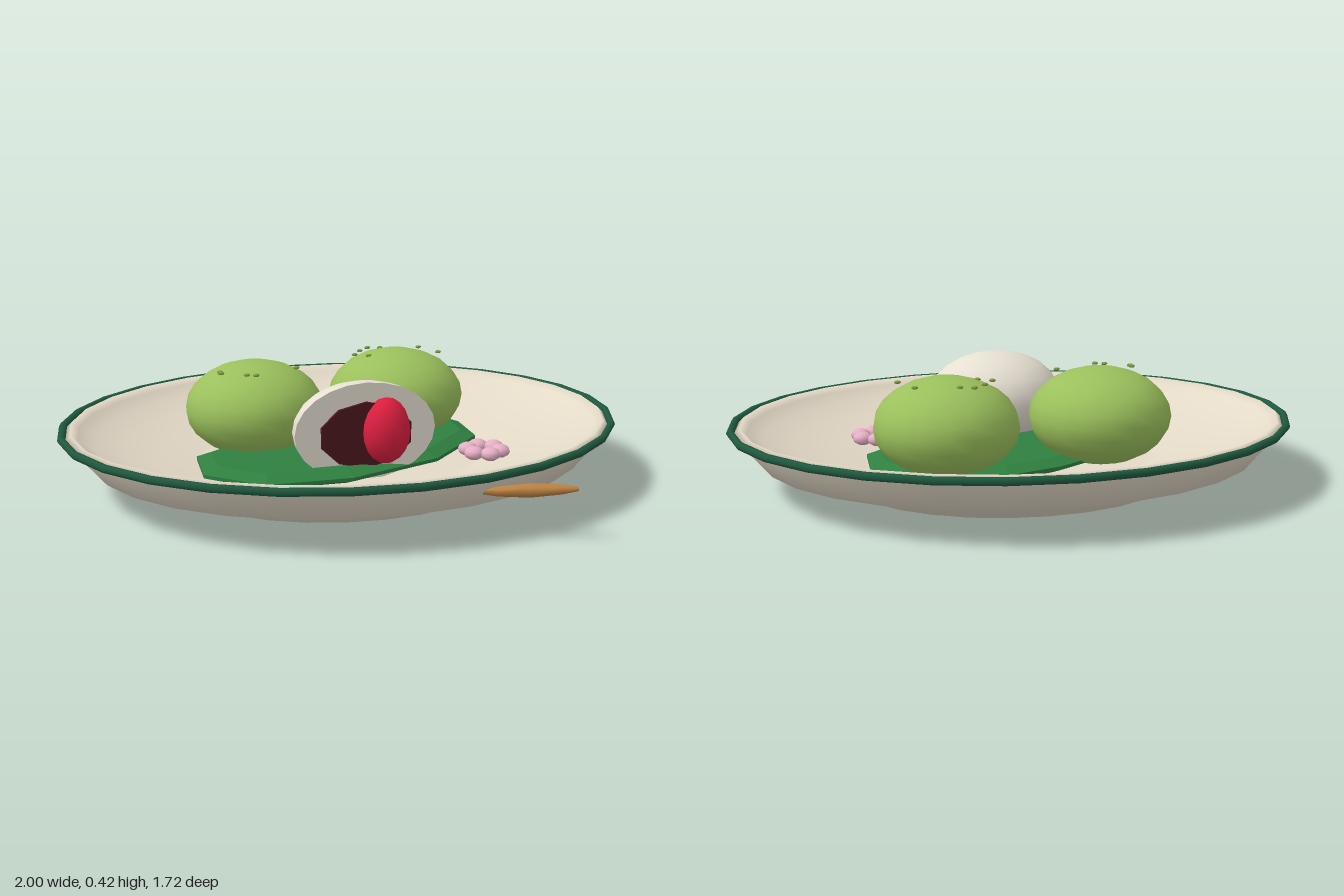
import * as THREE from 'three';

const mat = (name, color) => {
  const m = new THREE.MeshStandardMaterial({ color });
  m.name = name;
  return m;
};

export function createModel() {
  const M = {
    cream: mat('cream glaze', 0xe3d9c7),
    rim: mat('dark green rim', 0x1f5a3f),
    leaf: mat('leaf green', 0x2f8040),
    green: mat('green rice cake', 0x9bc05c),
    speck: mat('green speck', 0x7c9c40),
    white: mat('white rice cake', 0xe6dfd2),
    bean: mat('red bean paste', 0x4a171c),
    berry: mat('strawberry red', 0xdc1f3f),
    pink: mat('blossom pink', 0xe6b0c6),
    wood: mat('wood brown', 0xc08444),
  };
  const group = new THREE.Group();
  const add = (name, geo, material, x = 0, y = 0, z = 0, parent = group) => {
    const mesh = new THREE.Mesh(geo, material);
    mesh.name = name;
    mesh.position.set(x, y, z);
    parent.add(mesh);
    return mesh;
  };
  const ellipsoid = (rx, ry, rz, w = 18, h = 12, ...arc) =>
    new THREE.SphereGeometry(1, w, h, ...arc).scale(rx, ry, rz);
  const lathe = (pts, segments) =>
    new THREE.LatheGeometry(pts.map(p => new THREE.Vector2(...p)), segments);

  // Oval plate: foot, outer wall, lip and dished inside
  const plate = new THREE.Group();
  plate.name = 'plate';
  plate.position.z = -0.013;
  plate.scale.z = 0.845;
  group.add(plate);
  add('plateBody', lathe([
    [0, 0], [0.585, 0], [0.6, 0.05], [0.88, 0.1], [0.975, 0.212],
    [0.955, 0.232], [0.93, 0.212], [0.88, 0.18], [0.78, 0.145], [0.66, 0.113],
    [0.52, 0.086], [0.49, 0.08], [0, 0.08],
  ], 28), M.cream, 0, 0, 0, plate);
  add('plateRim', new THREE.TorusGeometry(0.985, 0.014, 6, 28).rotateX(Math.PI / 2),
    M.rim, 0, 0.218, 0, plate);

  // Bevelled leaf under the rice cakes
  const outline = [[-0.54, 0.18], [-0.37, 0.35], [-0.07, 0.36], [0.28, 0.23], [0.52, 0],
    [0.535, -0.2], [0.45, -0.33], [0.1, -0.39], [-0.1, -0.32], [-0.52, -0.04]];
  const leafShape = new THREE.Shape(outline.map(([x, z]) => new THREE.Vector2(x, -z)));
  const leafGeo = new THREE.ExtrudeGeometry(leafShape, {
    depth: 0.012, bevelEnabled: true, bevelThickness: 0.02, bevelSize: 0.05,
    bevelOffset: -0.05, bevelSegments: 1,
  }).rotateX(-Math.PI / 2);
  add('leaf', leafGeo, M.leaf, 0, 0.102, 0);

  // Whole green rice cakes with flat specks above them
  const ballGeo = ellipsoid(0.25, 0.17, 0.25);
  add('rightRiceCake', ballGeo, M.green, -0.28, 0.247, -0.155);
  add('leftRiceCake', ballGeo, M.green, 0.275, 0.247, -0.2);
  const speckGeo = ellipsoid(0.012, 0.006, 0.012, 6, 4);
  [[-0.42, -0.085], [-0.42, -0.065], [-0.34, -0.015], [-0.31, 0], [-0.145, -0.075],
    [0.205, -0.325], [0.25, -0.31], [0.16, -0.28], [0.12, -0.22], [0.165, -0.19],
    [0.395, -0.28], [0.435, -0.175]]
    .forEach(([x, z]) => add('speck', speckGeo, M.speck, x, 0.4, z));

  // Halved white rice cake with its cut face, filling and strawberry
  const half = new THREE.Group();
  half.name = 'halvedRiceCake';
  half.position.set(0, 0.245, 0.275);
  group.add(half);
  add('shell', ellipsoid(0.25, 0.17, 0.245, 12, 12, Math.PI, Math.PI), M.white, 0, 0, 0, half);
  add('cutFace', new THREE.CircleGeometry(1, 24).scale(0.25, 0.17, 1), M.white, 0, 0, 0, half);
  add('filling', new THREE.CylinderGeometry(1, 1, 1, 10).rotateX(Math.PI / 2)
    .scale(0.167, 0.115, 0.02), M.bean, 0, -0.01, 0.002, half);
  add('strawberry', ellipsoid(0.086, 0.115, 0.08, 12, 10), M.berry, 0.07, 0, 0.003, half);

  // Blossom with a ring of petals
  const blossom = new THREE.Group();
  blossom.name = 'blossom';
  blossom.position.set(0.46, 0.125, 0.218);
  group.add(blossom);
  const petalGeo = ellipsoid(0.036, 0.024, 0.036, 10, 6);
  for (let i = 0; i < 6; i++) {
    const a = (i / 6) * Math.PI * 2;
    add('petal', petalGeo, M.pink, Math.sin(a) * 0.057, 0, Math.cos(a) * 0.057, blossom);
  }

  // Spindle-shaped wooden picks laid between two points
  const pick = (name, a, b, r) => {
    const from = new THREE.Vector3(...a), to = new THREE.Vector3(...b);
    const dir = to.clone().sub(from), L = dir.length();
    const geo = lathe([[0, 0], [r * 0.7, L * 0.25], [r, L * 0.55], [r * 0.7, L * 0.85],
      [r * 0.3, L], [0, L]], 6);
    const mesh = add(name, geo, M.wood, ...a);
    mesh.quaternion.setFromUnitVectors(new THREE.Vector3(0, 1, 0), dir.normalize());
  };
  pick('outerPick', [0.2, 0.15, 0.72], [0.5, 0.175, 0.856], 0.023);
  pick('innerPick', [-0.245, 0.116, 0.5], [-0.06, 0.121, 0.566], 0.013);

  return group;
}
